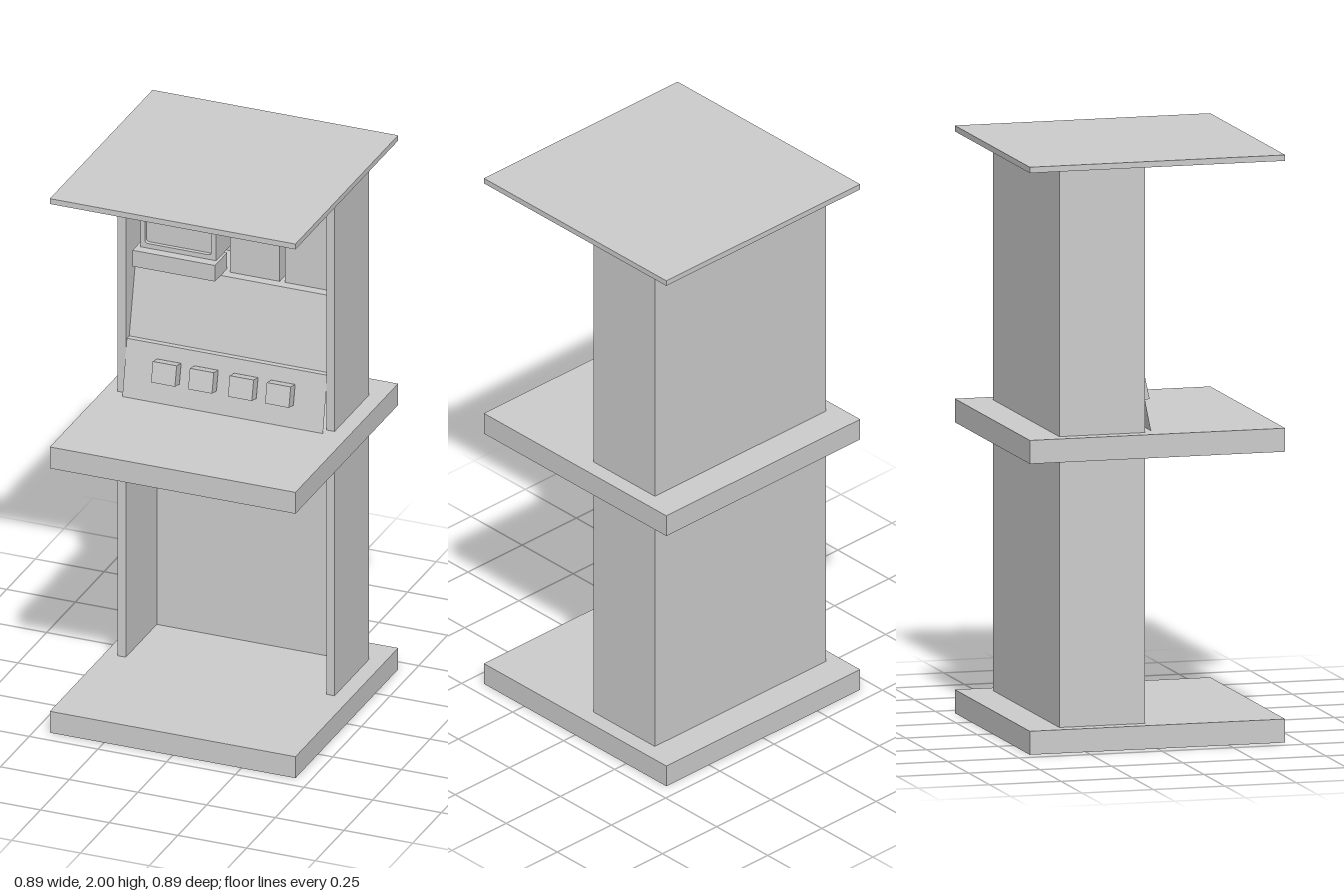
import * as THREE from 'three';

const grey = new THREE.MeshStandardMaterial({ color: 0xcccccc, flatShading: true });
const sheet = new THREE.MeshStandardMaterial({ color: 0xcccccc, flatShading: true, side: THREE.DoubleSide });

export function createModel() {
  const model = new THREE.Group();
  model.name = 'kiosk';

  const add = (name, geometry, material = grey) => {
    const mesh = new THREE.Mesh(geometry, material);
    mesh.name = name;
    model.add(mesh);
    return mesh;
  };
  // Box given by its limits on each axis
  const box = (name, x0, x1, y0, y1, z0, z1, material) => {
    const mesh = add(name, new THREE.BoxGeometry(x1 - x0, y1 - y0, z1 - z0), material);
    mesh.position.set((x0 + x1) / 2, (y0 + y1) / 2, (z0 + z1) / 2);
    return mesh;
  };

  // Horizontal decks; the base is an open shell underneath
  const R = 0.447;
  const base = box('base', -R, R, 0, 0.08, -R, R, sheet);
  const faces = Array.from(base.geometry.index.array);
  faces.splice(18, 6);
  base.geometry.setIndex(faces);
  base.geometry.clearGroups();
  box('counter', -R, R, 0.99, 1.07, -R, R);
  box('roof', -R, R, 1.98, 2, -R, R);

  // U-shaped cabinet wall: back and two sides, open at the front
  const plan = new THREE.Shape([
    [-0.4, 0.33], [0.39, 0.33], [0.39, 0.03], [0.36, 0.03],
    [0.36, 0.3], [-0.37, 0.3], [-0.37, 0.03], [-0.4, 0.03],
  ].map(([x, y]) => new THREE.Vector2(x, y)));
  const walls = [['lowerCabinetWalls', 0.08, 0.99], ['upperCabinetWalls', 1.07, 1.98]];
  for (const [name, y0, y1] of walls) {
    const wall = add(name, new THREE.ExtrudeGeometry(plan, { depth: y1 - y0, bevelEnabled: false }));
    wall.rotation.x = -Math.PI / 2;
    wall.position.y = y0;
  }

  // Stepped, sloping console made of thin panels along a (z, y) profile
  const profile = [[0, 1.07], [-0.04, 1.27], [-0.06, 1.27], [-0.115, 1.53], [-0.3, 1.53]];
  for (let i = 0; i < profile.length - 1; i++) {
    const [z0, y0] = profile[i], [z1, y1] = profile[i + 1];
    const panel = add('consolePanel' + (i + 1),
      new THREE.PlaneGeometry(0.73, Math.hypot(z1 - z0, y1 - y0)), sheet);
    panel.position.set(-0.005, (y0 + y1) / 2, (z0 + z1) / 2);
    panel.rotation.x = Math.atan2(z1 - z0, y1 - y0);
  }

  // Row of tilted buttons
  for (const x of [-0.21, -0.075, 0.07, 0.205]) {
    const button = add('button', new THREE.BoxGeometry(0.087, 0.073, 0.04));
    button.position.set(x, 1.19, 0.002);
    button.rotation.x = -0.21;
  }

  // Display: bars above and below a framed, recessed screen
  box('displayFoot', -0.36, -0.06, 1.53, 1.59, -0.17, -0.065);
  box('displayHood', -0.36, -0.06, 1.9, 1.95, -0.17, -0.065);
  box('displayBody', -0.345, -0.07, 1.59, 1.9, -0.3, -0.115);
  const frame = new THREE.Shape([
    new THREE.Vector2(-0.345, 1.59), new THREE.Vector2(-0.07, 1.59),
    new THREE.Vector2(-0.07, 1.9), new THREE.Vector2(-0.345, 1.9),
  ]);
  const [l, r, b, t, c] = [-0.33, -0.088, 1.607, 1.878, 0.012];
  const opening = new THREE.Path();
  opening.moveTo(l + c, b).lineTo(r - c, b).quadraticCurveTo(r, b, r, b + c)
    .lineTo(r, t - c).quadraticCurveTo(r, t, r - c, t)
    .lineTo(l + c, t).quadraticCurveTo(l, t, l, t - c)
    .lineTo(l, b + c).quadraticCurveTo(l, b, l + c, b);
  frame.holes.push(opening);
  add('displayFrame', new THREE.ExtrudeGeometry(frame, { depth: 0.015, bevelEnabled: false, curveSegments: 4 }))
    .position.z = -0.115;

  // Two upright units beside the display
  for (const x of [-0.04, 0.16]) box('uprightUnit', x, x + 0.18, 1.53, 1.82, -0.3, -0.15);

  return model;
}
